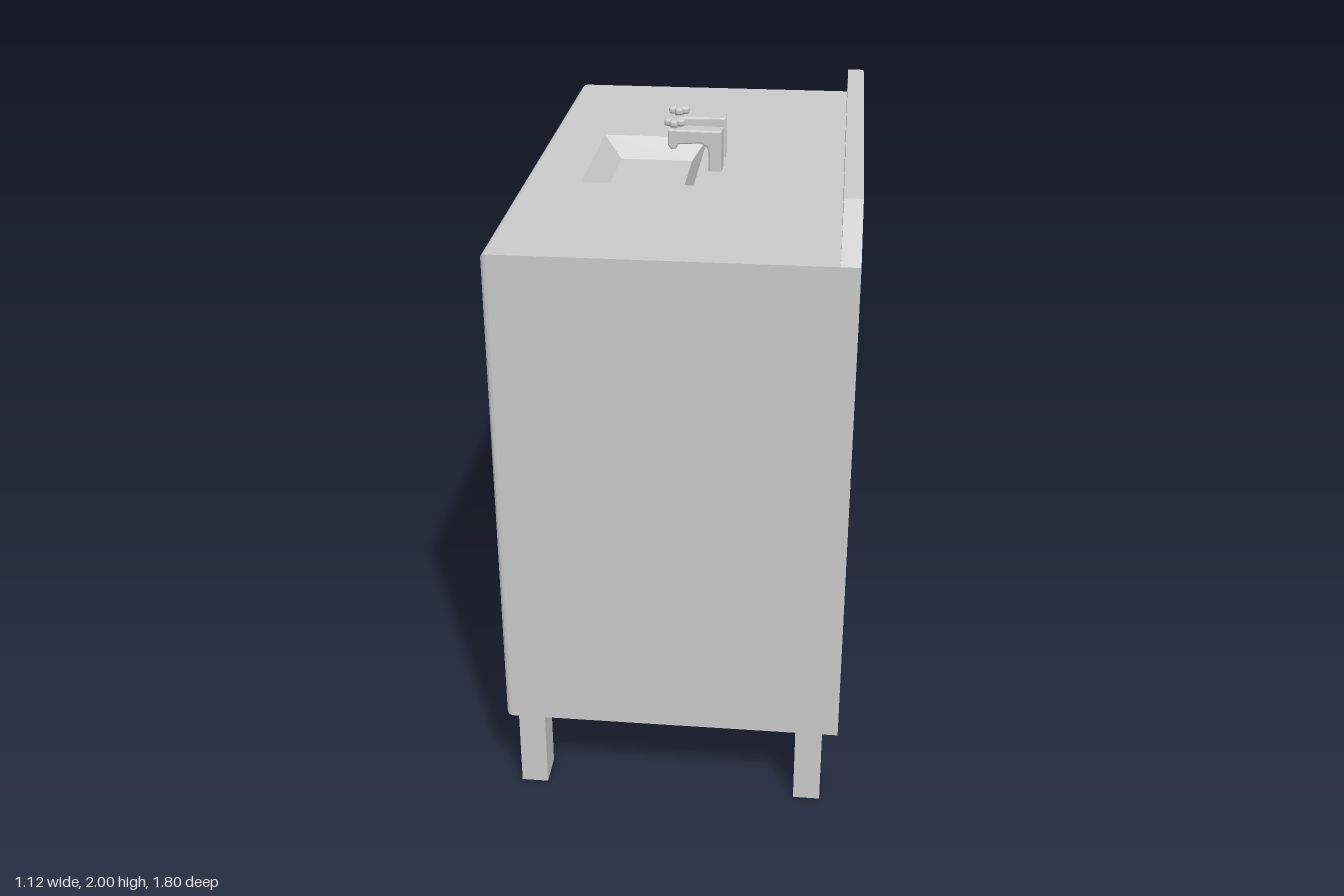
import * as THREE from 'three';
import { RoundedBoxGeometry } from 'three/addons/geometries/RoundedBoxGeometry.js';

const mat = new THREE.MeshStandardMaterial({ color: 0xcccccc });
const thin = new THREE.MeshStandardMaterial({ color: 0xcccccc, side: THREE.DoubleSide });

function add(parent, name, geometry, material = mat) {
  const mesh = new THREE.Mesh(geometry, material);
  mesh.name = name;
  parent.add(mesh);
  return mesh;
}

// Box given by its lower and upper limits
function span(x0, x1, y0, y1, z0, z1) {
  return new THREE.BoxGeometry(x1 - x0, y1 - y0, z1 - z0)
    .translate((x0 + x1) / 2, (y0 + y1) / 2, (z0 + z1) / 2);
}

const outline = (pts) => new THREE.Shape(pts.map(([x, y]) => new THREE.Vector2(x, y)));
const rect = (x0, x1, y0, y1) => [[x0, y0], [x1, y0], [x1, y1], [x0, y1]];

// Extrusion of total thickness `depth`, starting at 0, bevelled inside its outline
function slab(shape, depth, bevel = 0) {
  return new THREE.ExtrudeGeometry(shape, {
    depth: depth - 2 * bevel, bevelEnabled: bevel > 0, bevelThickness: bevel,
    bevelSize: bevel, bevelOffset: -bevel, bevelSegments: 3, curveSegments: 6,
  }).translate(0, 0, bevel);
}

const W = 0.9, BOTTOM = 0.285, TOP = 1.84, FRONT = -0.49, PANEL = -0.44, BACK = 0.555;

// Sloping basin between a top loop and a smaller floor loop
function basinGeometry() {
  const top = rect(-0.31, 0.04, -0.26, 0.25).map(([x, z]) => [x, TOP, z]);
  const low = rect(-0.25, -0.01, -0.22, 0.21).map(([x, z]) => [x, TOP - 0.07, z]);
  const pos = [];
  const quad = (a, b, c, d) => pos.push(...a, ...b, ...c, ...a, ...c, ...d);
  for (let i = 0; i < 4; i++) {
    const j = (i + 1) % 4;
    quad(top[i], top[j], low[j], low[i]);
  }
  quad(low[3], low[2], low[1], low[0]);
  const g = new THREE.BufferGeometry();
  g.setAttribute('position', new THREE.Float32BufferAttribute(pos, 3));
  g.computeVertexNormals();
  return g;
}

function createHandle(y, z) {
  const h = outline([[-0.49, -0.098], [-0.49, -0.06], [-0.526, -0.06], [-0.526, 0.06],
    [-0.49, 0.06], [-0.49, 0.098], [-0.562, 0.098], [-0.562, -0.098]]);
  const geometry = slab(h, 0.036, 0.006).rotateX(Math.PI / 2).translate(0, 0.018, 0);
  const mesh = new THREE.Mesh(geometry, mat);
  mesh.name = 'drawerHandle';
  mesh.position.set(0, y, z);
  return mesh;
}

function createTap(side) {
  const tap = new THREE.Group();
  tap.name = 'tap';
  // Post, arm and down-turned spout in one profile
  const profile = outline([[0.115, -0.02], [0.115, 0.13], [-0.055, 0.13], [-0.055, 0.078],
    [-0.045, 0.066], [-0.03, 0.068], [-0.022, 0.082], [0.05, 0.088], [0.068, 0.078], [0.074, 0.06], [0.074, -0.02]]);
  add(tap, 'spout', slab(profile, 0.058, 0.006).translate(0, 0, -0.029));
  // Cross-shaped turning knob
  add(tap, 'knobStem', new THREE.CylinderGeometry(0.014, 0.014, 0.03, 16).translate(-0.037, 0.14, 0));
  add(tap, 'knobBarLong', new RoundedBoxGeometry(0.066, 0.024, 0.026, 3, 0.009).translate(-0.037, 0.147, 0));
  add(tap, 'knobBarCross', new RoundedBoxGeometry(0.026, 0.024, 0.06, 3, 0.009).translate(-0.037, 0.147, 0));
  tap.position.set(0, TOP, side * 0.072);
  tap.rotation.y = -side * 0.05;
  return tap;
}

export function createModel() {
  const model = new THREE.Group();
  model.name = 'washstand';

  // Cabinet body and worktop with the sink opening
  add(model, 'cabinetBody', span(PANEL, BACK, BOTTOM, 1.74, -W, W));
  const top = outline(rect(PANEL, BACK, -W, W));
  top.holes.push(outline(rect(-0.31, 0.04, -0.25, 0.26)));
  add(model, 'worktop', slab(top, 0.1).rotateX(-Math.PI / 2).translate(0, 1.74, 0));
  add(model, 'sinkBasin', basinGeometry(), thin);

  // Rounded rim around the recessed drawer front
  const rim = outline(rect(-W, W, BOTTOM, TOP));
  rim.holes.push(outline(rect(-W + 0.045, W - 0.045, BOTTOM + 0.05, TOP - 0.045)));
  add(model, 'frontRim', slab(rim, 0.09, 0.018).rotateY(-Math.PI / 2).translate(FRONT + 0.09, 0, 0));

  // Splashback with cut corners
  const splash = outline([[-W, TOP], [W, TOP], [0.71, 1.97], [-0.71, 1.97]]);
  add(model, 'splashback', slab(splash, 0.055).rotateY(-Math.PI / 2).translate(BACK, 0, 0));

  // Three drawers with two handles each
  for (const y of [1.538, 1.067, 0.598]) {
    add(model, 'drawer', span(-0.496, PANEL + 0.01, y - 0.228, y + 0.228, -0.69, 0.69));
    for (const z of [-0.3, 0.295]) model.add(createHandle(y + (y > 1.5 ? 0.018 : 0), z));
  }

  // Pair of taps
  for (const side of [-1, 1]) model.add(createTap(side));

  // Legs
  for (const x of [-0.417, 0.465])
    for (const z of [-0.807, 0.807])
      add(model, 'leg', span(x - 0.042, x + 0.042, 0, BOTTOM + 0.01, z - 0.055, z + 0.055));

  return model;
}
